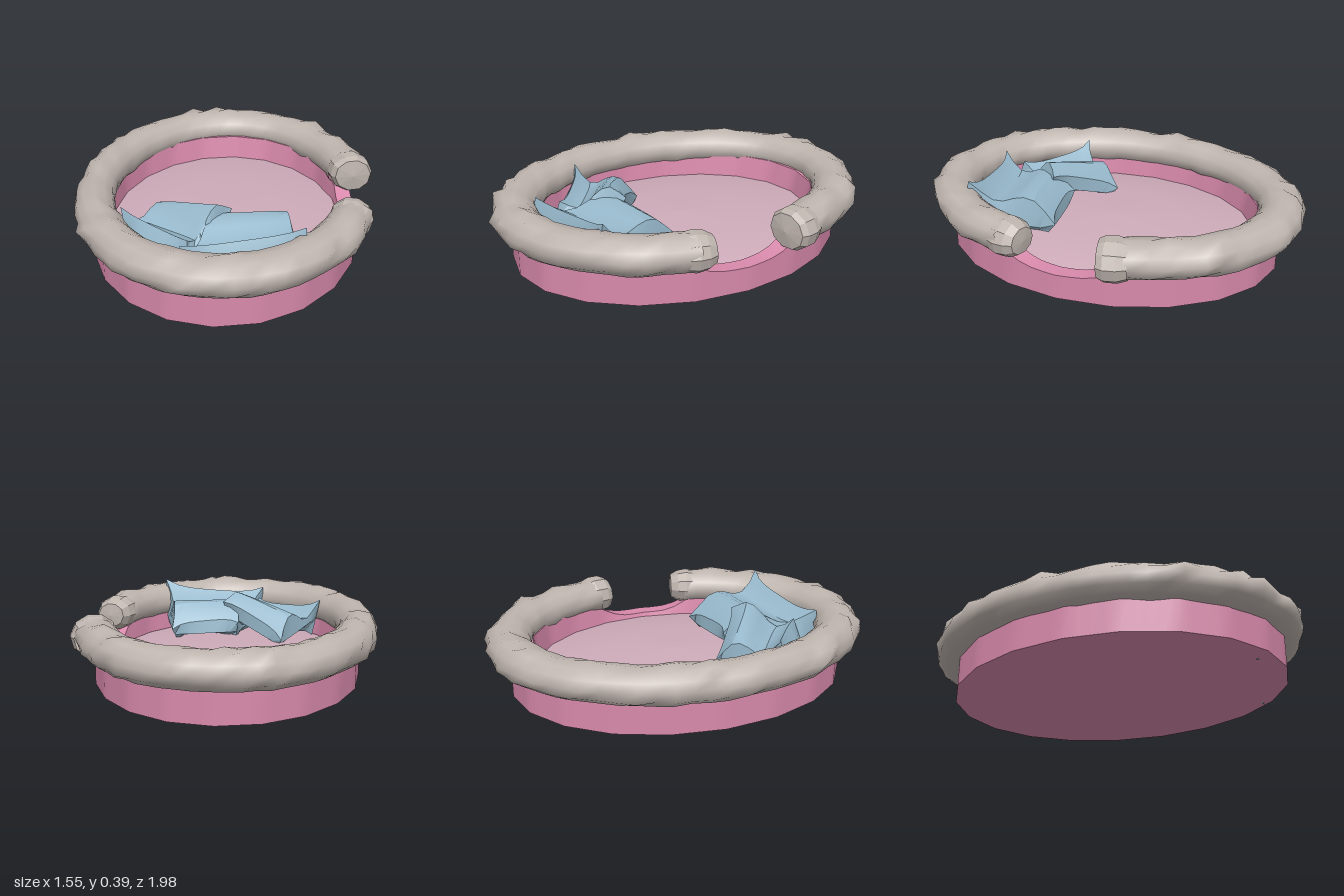
import * as THREE from 'three';
import { toCreasedNormals } from 'three/addons/utils/BufferGeometryUtils.js';

const mat = (color, flatShading = false) =>
  new THREE.MeshStandardMaterial({ color, flatShading, side: THREE.DoubleSide });

function addMesh(group, name, geometry, material) {
  const mesh = new THREE.Mesh(geometry, material);
  mesh.name = name;
  group.add(mesh);
  return mesh;
}

// Surface over rows x cols; f(row, col) returns [x, y, z]. Columns wrap around.
function wrapSurface(rows, cols, f) {
  const pos = [], index = [];
  for (let r = 0; r <= rows; r++)
    for (let c = 0; c < cols; c++) pos.push(...f(r, c));
  for (let r = 0; r < rows; r++)
    for (let c = 0; c < cols; c++) {
      const d = (c + 1) % cols, a = r * cols, b = a + cols;
      index.push(a + c, b + c, a + d, a + d, b + c, b + d);
    }
  const g = new THREE.BufferGeometry();
  g.setAttribute('position', new THREE.Float32BufferAttribute(pos, 3));
  g.setIndex(index);
  g.computeVertexNormals();
  return g;
}

// Oval 20-sided tray whose rim dips at the entrance on the +x side
function trayGeometry() {
  const sides = 20, step = (Math.PI * 2) / sides, segs = sides * 4;
  const g = wrapSurface(4, segs, (r, c) => {
    const a = (c / segs) * Math.PI * 2;
    const off = a > Math.PI ? a - Math.PI * 2 : a;
    const lip = 0.24 - 0.105 * Math.exp(-Math.pow(off / 0.35, 4));
    const [rx, rz, y] = [
      [0, 0, 0.01], [0.688, 0.882, 0.01], [0.688, 0.882, lip],
      [0.605, 0.765, lip], [0.588, 0.738, 0.08],
    ][r];
    // pull the in-between points onto the straight sides
    const k = Math.cos(step / 2) / Math.cos((a % step) - step / 2);
    return [rx * k * Math.cos(a), y, 0.02 + rz * k * Math.sin(a)];
  });
  return toCreasedNormals(g, 0.6);
}

// Slightly domed floor pad
function padGeometry() {
  const segs = 20;
  return wrapSurface(3, segs, (r, c) => {
    const a = (c / segs) * Math.PI * 2, k = [0, 0.5, 1, 1][r];
    const y = [0.155, 0.14, 0.115, 0.08][r];
    return [0.592 * k * Math.cos(a), y, 0.005 + 0.74 * k * Math.sin(a)];
  });
}

// Lumpy stuffed bolster following an open oval
const GAP = 0.32;
const ringPoint = (a) => new THREE.Vector3(0.672 * Math.cos(a), 0.263, 0.008 + 0.868 * Math.sin(a));
const ringTangent = (a) => new THREE.Vector3(-0.672 * Math.sin(a), 0, 0.868 * Math.cos(a)).normalize();
const hash = (i, j) => {
  const s = Math.sin(i * 127.1 + j * 311.7) * 43758.5453;
  return s - Math.floor(s);
};

function bolsterGeometry() {
  const rows = 60, cols = 12;
  return wrapSurface(rows, cols, (r, c) => {
    const a = GAP + (r / rows) * (Math.PI * 2 - 2 * GAP);
    const p = ringPoint(a), t = ringTangent(a);
    const out = new THREE.Vector3(t.z, 0, -t.x);
    const q = (c / cols) * Math.PI * 2;
    // lumps are strongest on the upper outside
    const upperOut = 0.35 + 0.65 * Math.max(0, Math.cos(q - 0.7));
    const lump = 0.5 * Math.sin(a * 13 + 2 * Math.sin(q)) + 0.5 * Math.sin(a * 23 + q * 2);
    const rad = 1 + upperOut * (0.08 * lump + 0.28 * Math.pow(hash(r, c), 4));
    p.addScaledVector(out, (0.098 + 0.014 * Math.abs(Math.sin(a))) * rad * Math.cos(q));
    p.y += 0.092 * rad * Math.sin(q);
    return p.toArray();
  });
}

// Box warped between two corner quads: plump sides and short pointed ears
function cushionGeometry(top, bottom) {
  const g = new THREE.BoxGeometry(2, 2, 2, 8, 2, 8), p = g.attributes.position;
  const mix = (quad, u, v) => {
    const w = [(1 - u) * (1 - v), (1 + u) * (1 - v), (1 + u) * (1 + v), (1 - u) * (1 + v)];
    const s = new THREE.Vector3();
    quad.forEach((k, i) => s.addScaledVector(new THREE.Vector3(...k), w[i] / 4));
    return s;
  };
  for (let i = 0; i < p.count; i++) {
    const u0 = p.getX(i), v0 = p.getZ(i), h = p.getY(i);
    const pinch = 0.12 * Math.abs(h) - 0.03 * (1 - Math.abs(h));
    const u = u0 * (1 - pinch * (1 - v0 ** 4)), v = v0 * (1 - pinch * (1 - u0 ** 4));
    const s = mix(bottom, u, v).lerp(mix(top, u, v), (h + 1) / 2);
    // a ridge near the low end, then a fold rising to the high edge
    const fold = -0.05 * Math.sin(Math.PI * v0) - 0.04 * Math.max(0, v0) + 0.015;
    s.y += (h > 0 ? fold : -0.04 * h) * (1 - (u0 * v0) ** 4);
    p.setXYZ(i, s.x, s.y, s.z);
  }
  return toCreasedNormals(g, 0.5);
}

export function createModel() {
  const group = new THREE.Group();
  group.name = 'petBed';
  const pink = mat(0xd98aac), pad = mat(0xcfacba);
  const grey = mat(0xbfb5af), greyFlat = mat(0xbfb5af, true), blue = mat(0x98bacd);

  addMesh(group, 'tray', trayGeometry(), pink);
  addMesh(group, 'floorPad', padGeometry(), pad);
  addMesh(group, 'bolster', bolsterGeometry(), grey);

  // Blunt faceted ends of the bolster, either side of the entrance
  const ends = [
    ['frontBolsterEnd', 1, 0, [[0.1, -0.06], [0.11, -0.01], [0.1, 0.04], [0.075, 0.08], [0, 0.088]]],
    ['backBolsterEnd', -1, 0.015, [[0.1, -0.07], [0.118, -0.02], [0.117, 0.04], [0.1, 0.072], [0, 0.085]]],
  ];
  for (const [name, side, shift, profile] of ends) {
    const a = side * GAP;
    const end = addMesh(group, name,
      new THREE.LatheGeometry(profile.map(([x, y]) => new THREE.Vector2(x, y)), 10), greyFlat);
    end.position.copy(ringPoint(a));
    end.position.x += shift;
    end.quaternion.setFromUnitVectors(new THREE.Vector3(0, 1, 0), ringTangent(a).multiplyScalar(-side));
    end.scale.z = 0.88;
  }

  // Two cushions slumped against the front of the bolster
  addMesh(group, 'smallCushion', cushionGeometry(
    [[-0.28, 0.16, 0.11], [0.05, 0.32, 0.34], [-0.14, 0.29, 0.62], [-0.49, 0.33, 0.38]],
    [[-0.25, 0.1, 0.17], [0.0, 0.17, 0.39], [-0.14, 0.1, 0.69], [-0.45, 0.12, 0.42]]), blue);
  addMesh(group, 'largeCushion', cushionGeometry(
    [[-0.04, 0.22, 0.26], [0.32, 0.19, 0.2], [0.41, 0.39, 0.64], [-0.16, 0.33, 0.74]],
    [[-0.02, 0.11, 0.3], [0.3, 0.12, 0.26], [0.41, 0.0, 0.69], [-0.15, 0.0, 0.8]]), blue);

  return group;
}
